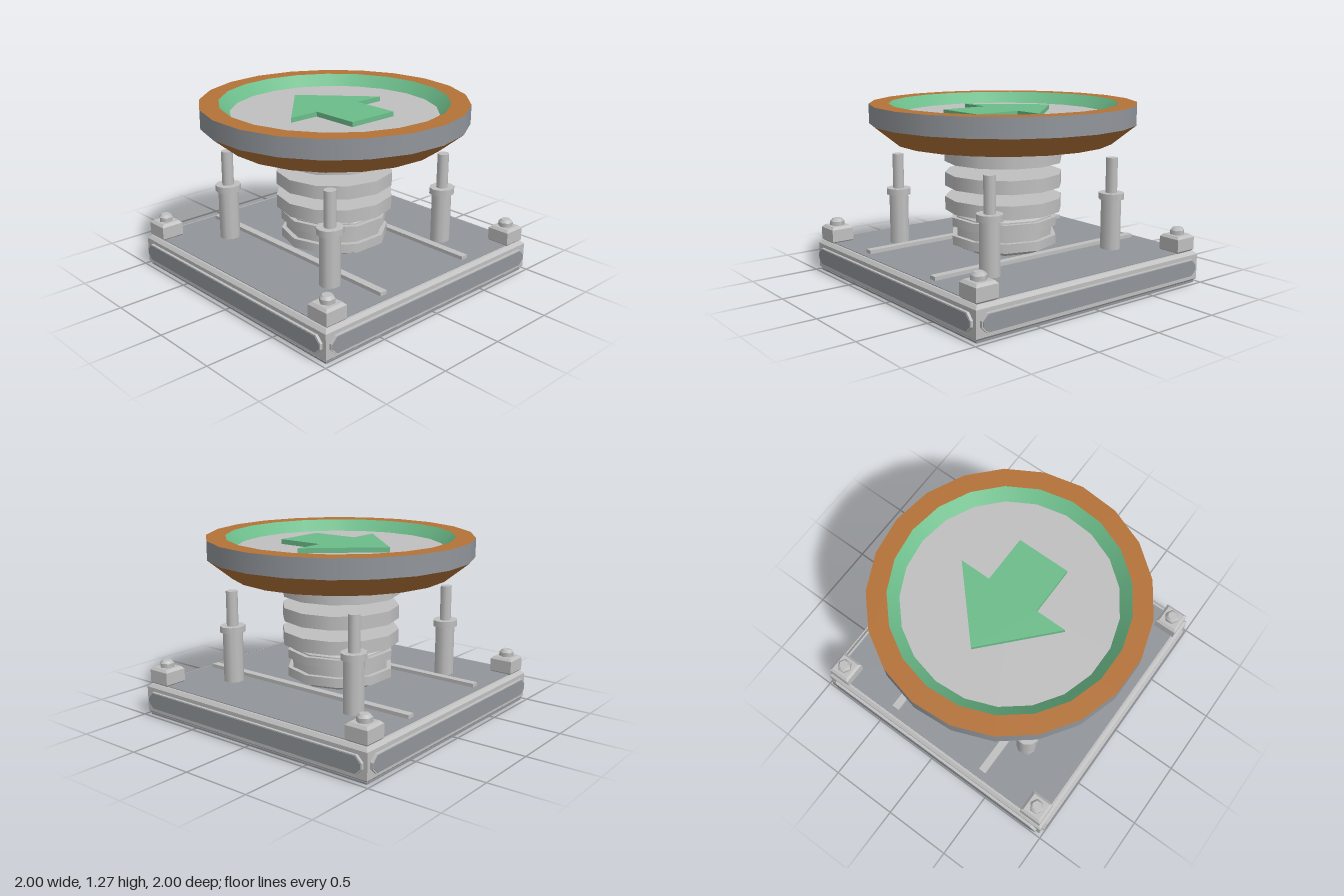
import * as THREE from 'three';

const material = (name, color) => {
  const m = new THREE.MeshStandardMaterial({ color });
  m.name = name;
  return m;
};

export function createModel() {
  const root = new THREE.Group();
  root.name = 'launchPad';
  const lightGrey = material('lightGrey', 0xbfbfbf);
  const steel = material('steel', 0x91959a);
  const orange = material('orange', 0xb47238);
  const green = material('green', 0x6cbc8a);

  const add = (name, geometry, mat, x = 0, y = 0, z = 0, parent = root) => {
    const mesh = new THREE.Mesh(geometry, mat);
    mesh.name = name;
    mesh.position.set(x, y, z);
    parent.add(mesh);
    return mesh;
  };
  const polygon = (pts) => new THREE.Shape(pts.map(([x, y]) => new THREE.Vector2(x, y)));

  // Square slab with chamfered edges, standing on y = 0
  const slab = (half, height, bevel) => {
    const s = half - bevel;
    const g = new THREE.ExtrudeGeometry(polygon([[-s, -s], [s, -s], [s, s], [-s, s]]), {
      depth: height - 2 * bevel, bevelSize: bevel, bevelThickness: bevel, bevelSegments: 1,
    });
    return g.rotateX(-Math.PI / 2).translate(0, bevel, 0);
  };
  // Cylinder between two heights, with a corner on the x axis
  const drum = (name, r0, r1, y0, y1, sides, mat, parent = root) =>
    add(name, new THREE.CylinderGeometry(r1, r0, y1 - y0, sides, 1, false, Math.PI / 2),
      mat, 0, (y0 + y1) / 2, 0, parent);

  // Base
  add('baseFrame', slab(0.978, 0.222, 0.022), lightGrey, 0, 0.008, 0);
  add('deck', new THREE.BoxGeometry(1.88, 0.008, 1.88), steel, 0, 0.23, 0);
  add('underside', new THREE.BoxGeometry(1.93, 0.012, 1.93), steel, 0, 0.006, 0);

  // Pointed panels on the four sides of the base
  const panelShape = (w, h, c) => polygon([
    [-w, -h + c], [-w + c, -h], [w - c, -h], [w, -h + c],
    [w, h - c], [w - c, h], [-w + c, h], [-w, h - c],
  ]);
  for (let i = 0; i < 4; i++) {
    const side = new THREE.Group();
    side.name = 'sidePanel';
    side.rotation.y = i * Math.PI / 2;
    root.add(side);
    add('panelMount', new THREE.ExtrudeGeometry(panelShape(0.95, 0.062, 0.042),
      { depth: 0.037, bevelEnabled: false }), lightGrey, 0, 0.12, 0.96, side);
    add('panelFace', new THREE.ExtrudeGeometry(panelShape(0.942, 0.056, 0.04),
      { depth: 0.003, bevelEnabled: false }), steel, 0, 0.12, 0.997, side);
  }

  // Rails lying on the deck
  for (const x of [-0.4, 0.4]) {
    add('deckRail', new THREE.BoxGeometry(0.055, 0.03, 1.78), lightGrey, x, 0.245, 0);
  }

  // Corner blocks with bolts, and guide pistons
  for (const sx of [-1, 1]) {
    for (const sz of [-1, 1]) {
      const corner = new THREE.Group();
      corner.name = 'cornerBlock';
      corner.position.set(sx * 0.873, 0, sz * 0.877);
      root.add(corner);
      add('block', slab(0.084, 0.125, 0.018), lightGrey, 0, 0.225, 0, corner);
      drum('boltHead', 0.052, 0.052, 0.345, 0.38, 6, lightGrey, corner);
      drum('boltTip', 0.052, 0.035, 0.38, 0.4, 6, lightGrey, corner);

      const piston = new THREE.Group();
      piston.name = 'guidePiston';
      piston.position.set(sx * 0.543, 0, sz * 0.543);
      piston.scale.z = 0.93;
      root.add(piston);
      drum('sleeve', 0.074, 0.074, 0.23, 0.6, 10, lightGrey, piston);
      drum('collar', 0.094, 0.094, 0.595, 0.64, 10, lightGrey, piston);
      drum('rod', 0.043, 0.043, 0.64, 0.89, 10, lightGrey, piston);
    }
  }

  // Stepped spring seat: bottom radius, top radius, bottom, top
  const seat = new THREE.Group();
  seat.name = 'springSeat';
  root.add(seat);
  for (const [r0, r1, y0, y1] of [
    [0.31, 0.35, 0.235, 0.27], [0.385, 0.385, 0.27, 0.335], [0.35, 0.35, 0.335, 0.405],
    [0.385, 0.385, 0.405, 0.467], [0.35, 0.35, 0.467, 0.475], [0.35, 0.31, 0.475, 0.505],
  ]) drum('seatTier', r0, r1, y0, y1, 10, lightGrey, seat);

  // Floating spring rings
  for (let i = 0; i < 3; i++) {
    const y = 0.512 + i * 0.174;
    drum('springRing', 0.42, 0.42, y, y + 0.095, 12, lightGrey);
  }

  // Round platform, one band per surface, each from [radius, height] to the next
  const platform = new THREE.Group();
  platform.name = 'platform';
  root.add(platform);
  const band = (name, from, to, mat) => add(name, new THREE.LatheGeometry(
    [new THREE.Vector2(...from), new THREE.Vector2(...to)], 21, Math.PI / 2), mat, 0, 0, 0, platform);
  band('platformBottom', [0, 1.003], [0.772, 1.003], lightGrey);
  band('lowerCone', [0.772, 1.003], [0.94, 1.138], orange);
  band('outerBand', [0.94, 1.138], [0.94, 1.272], steel);
  band('rim', [0.94, 1.272], [0.805, 1.272], orange);
  band('innerWall', [0.805, 1.272], [0.73, 1.193], green);
  band('platformFloor', [0.73, 1.193], [0, 1.193], lightGrey);

  // Raised arrow pointing to the back
  const arrow = new THREE.ExtrudeGeometry(polygon([
    [0, 0.425], [-0.42, -0.03], [-0.193, -0.03], [-0.193, -0.38],
    [0.193, -0.38], [0.193, -0.03], [0.42, -0.03],
  ]), { depth: 0.035, bevelEnabled: false }).rotateX(-Math.PI / 2);
  add('arrow', arrow, green, 0, 1.192, 0, platform);

  return root;
}
